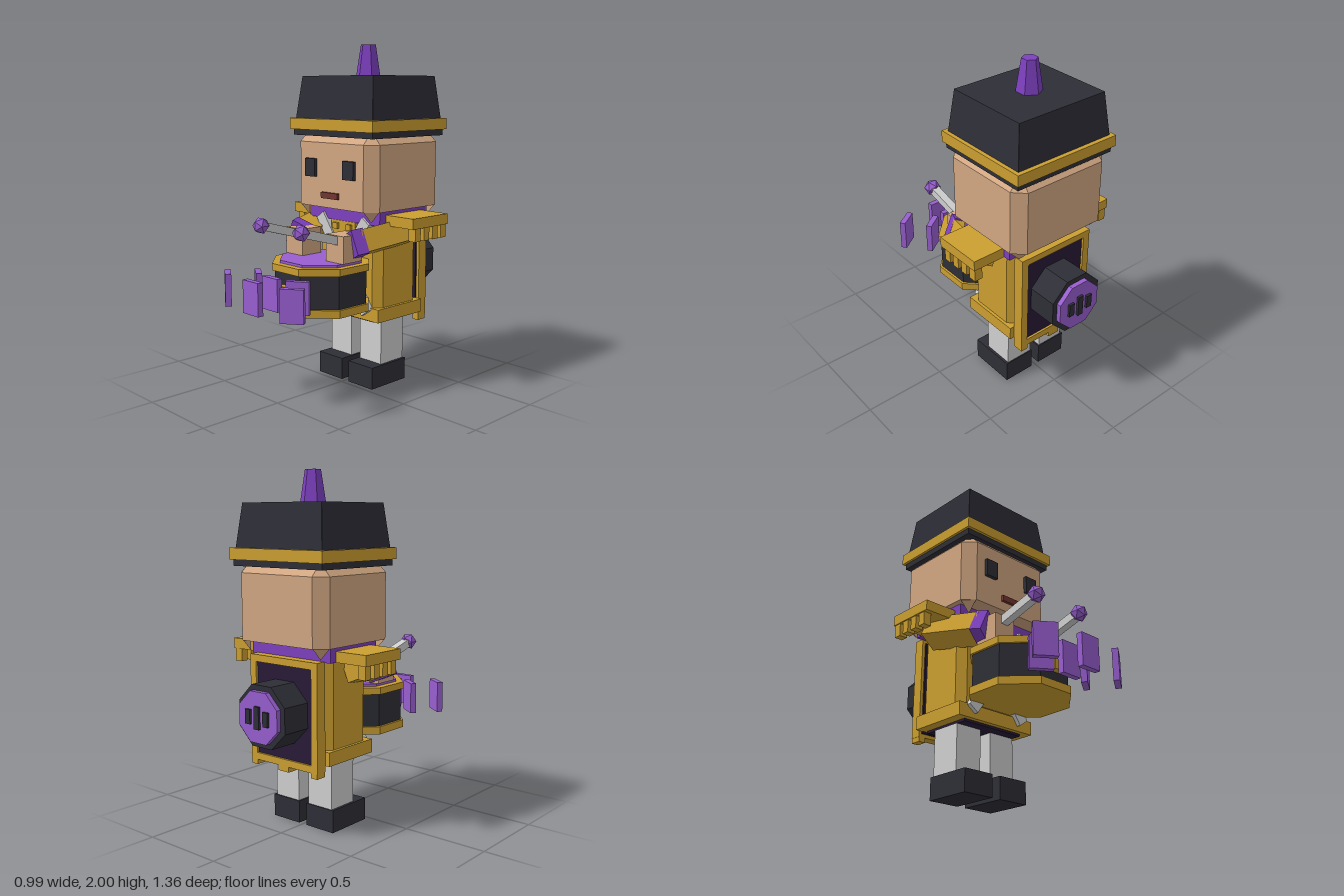
import * as THREE from 'three';
import { ConvexGeometry } from 'three/addons/geometries/ConvexGeometry.js';

const mat = (name, color) => {
  const m = new THREE.MeshStandardMaterial({ color, flatShading: true });
  m.name = name;
  return m;
};

// Stacked chamfered rectangles: each level is [y, halfX, halfZ, chamfer]
function loft(levels, z = 0) {
  const rings = levels.map(([y, hx, hz, c]) => [
    [hx, c - hz], [hx, hz - c], [hx - c, hz], [c - hx, hz],
    [-hx, hz - c], [-hx, c - hz], [c - hx, -hz], [hx - c, -hz],
  ].map(([x, d]) => [x, y, d + z]));
  const v = [];
  const tri = (...p) => p.forEach((q) => v.push(...q));
  const first = rings[0], last = rings[rings.length - 1];
  for (let i = 0; i < 8; i++) {
    const j = (i + 1) % 8;
    for (let k = 0; k + 1 < rings.length; k++) {
      const a = rings[k], b = rings[k + 1];
      tri(a[i], b[i], b[j]);
      tri(a[i], b[j], a[j]);
    }
    tri([0, first[0][1], z], first[i], first[j]);
    tri([0, last[0][1], z], last[j], last[i]);
  }
  const g = new THREE.BufferGeometry();
  g.setAttribute('position', new THREE.Float32BufferAttribute(v, 3));
  g.computeVertexNormals();
  return g;
}

export function createModel() {
  const gold = mat('gold', 0xcc9f30), skin = mat('skin', 0xd3a883);
  const dark = mat('charcoal', 0x2e2e37), deep = mat('deep purple', 0x7e40c0);
  const light = mat('light purple', 0x985ed0), grey = mat('light grey', 0xd0d0d0);
  const lip = mat('maroon', 0x733630), night = mat('night purple', 0x281b36);

  const model = new THREE.Group();
  const add = (name, geo, material, x = 0, y = 0, z = 0) => {
    const m = new THREE.Mesh(geo, material);
    m.name = name;
    m.position.set(x, y, z);
    model.add(m);
    return m;
  };
  // Box given by its extents on each axis
  const box = (name, material, [x0, x1], [y0, y1], [z0, z1]) => add(name,
    new THREE.BoxGeometry(x1 - x0, y1 - y0, z1 - z0), material,
    (x0 + x1) / 2, (y0 + y1) / 2, (z0 + z1) / 2);
  // Box running from one point to another
  const limb = (name, material, a, b, w, h, roll = 0) => {
    const p = new THREE.Vector3(...a), q = new THREE.Vector3(...b);
    const m = add(name, new THREE.BoxGeometry(w, h, p.distanceTo(q)), material);
    m.position.copy(p).lerp(q, 0.5);
    m.lookAt(q);
    m.rotateZ(roll);
    return m;
  };
  const mid = -0.22;

  // Head with chamfered corners and face
  add('head', loft([[1.065, 0.325, 0.303, 0.065], [1.44, 0.325, 0.303, 0.065], [1.49, 0.275, 0.253, 0.02]], mid), skin);
  box('mouth', lip, [-0.068, 0.068], [1.12, 1.155], [0.08, 0.1]);
  for (const sx of [-1, 1]) {
    box('eye', dark, [sx * 0.158 - 0.042, sx * 0.158 + 0.042], [1.24, 1.345], [0.08, 0.105]);
    for (const sz of [-1, 1]) {
      const p = (x, y, z) => new THREE.Vector3(sx * x, y, mid + sz * z);
      add('jawCorner', new ConvexGeometry([p(0.26, 1.07, 0.303), p(0.325, 1.07, 0.238), p(0.26, 1.0, 0.238), p(0.26, 1.07, 0.238)]), skin);
    }
  }

  // Hat
  box('hatLining', dark, [-0.325, 0.325], [1.475, 1.515], [mid - 0.298, mid + 0.298]);
  box('hatBand', gold, [-0.34, 0.34], [1.51, 1.575], [mid - 0.315, mid + 0.315]);
  add('hatCrown', loft([[1.57, 0.317, 0.29, 0.001], [1.82, 0.289, 0.26, 0.001]], mid), dark);
  add('plume', new THREE.CylinderGeometry(0.045, 0.073, 0.18, 6), deep, 0, 1.91, mid);

  // Torso, collar and belt
  add('coat', loft([[0.42, 0.255, 0.175, 0.045], [1.0, 0.255, 0.175, 0.045]], mid), gold);
  box('collar', deep, [-0.29, 0.29], [0.98, 1.066], [-0.415, -0.02]);
  box('belt', gold, [-0.273, 0.273], [0.412, 0.49], [-0.405, -0.03]);
  box('coatHem', night, [-0.21, 0.21], [0.398, 0.415], [-0.38, -0.06]);
  for (const s of [-1, 1]) {
    limb('crossStrap', grey, [s * 0.19, 1.0, -0.03], [-s * 0.19, 0.46, -0.03], 0.05, 0.07);
    for (const y of [0.84, 0.93]) box('button', gold, [s * 0.055 - 0.018, s * 0.055 + 0.018], [y, y + 0.035], [-0.05, 0.0]);
  }
  const lapel = new THREE.Shape([[-0.1, 0.98], [-0.1, 0.92], [0, 0.8], [0.1, 0.92], [0.1, 0.98]].map((p) => new THREE.Vector2(...p)));
  add('lapel', new THREE.ExtrudeGeometry(lapel, { depth: 0.02, bevelEnabled: false }), gold, 0, 0, -0.035);

  // Mirrored limbs
  for (const s of [-1, 1]) {
    const span = (a, b) => (s > 0 ? [a, b] : [-b, -a]);
    box('boot', dark, span(0.028, 0.225), [0, 0.13], [-0.32, -0.032]);
    box('leg', grey, span(0.037, 0.21), [0.13, 0.42], [-0.313, -0.122]);
    box('epaulette', gold, span(0.22, 0.493), [0.98, 1.04], [-0.37, -0.07]);
    for (let i = 0; i < 4; i++) {
      const z = -0.122 - i * 0.073;
      box('epauletteFringe', gold, span(0.436, 0.486), [0.905, 0.985], [z - 0.023, z + 0.023]);
    }
    limb('sleeve', gold, [s * 0.32, 0.94, -0.24], [s * 0.235, 0.89, 0.09], 0.14, 0.13, s * 0.4);
    limb('cuff', deep, [s * 0.235, 0.89, 0.07], [s * 0.21, 0.88, 0.135], 0.155, 0.145, s * 0.4);
    box('hand', skin, span(0.1, 0.24), [0.79, 0.945], [0.07, 0.217]);
    limb('drumstick', grey, [s * 0.17, 0.895, 0.14], [s * 0.17, 0.985, 0.46], 0.048, 0.048);
    add('drumstickTip', new THREE.IcosahedronGeometry(0.05, 0), light, s * 0.17, 0.987, 0.463);
  }

  // Front drum
  const dz = 0.16;
  const drumPart = (name, material, y0, y1, r) => {
    const c = r * 0.586;
    add(name, loft([[y0, r, r, c], [y1, r, r, c]], dz), material);
  };
  drumPart('drumLowerRim', gold, 0.5, 0.545, 0.272);
  drumPart('drumShell', dark, 0.545, 0.735, 0.258);
  drumPart('drumUpperRim', gold, 0.735, 0.775, 0.272);
  drumPart('drumSkin', light, 0.77, 0.79, 0.23);
  box('drumBadge', gold, [-0.031, 0.031], [0.6, 0.665], [0.41, 0.458]);

  // Floating plates in front of the drum
  for (const [x, z, turn] of [[0, 0.527, 0], [0, 0.66, 0], [0.17, 0.487, 1], [-0.17, 0.487, -1], [0.277, 0.62, 1], [-0.277, 0.62, -1]]) {
    add('soundPlate', new THREE.BoxGeometry(0.13, 0.185, 0.035), light, x, 0.637, z).rotation.y = turn * 0.61;
  }

  // Back banner with frame
  box('bannerPanel', night, [-0.23, 0.23], [0.4, 0.96], [-0.462, -0.4]);
  for (const s of [-1, 1]) {
    box('bannerPost', gold, [s * 0.227 - 0.022, s * 0.227 + 0.022], [0.38, 0.985], [-0.475, -0.41]);
    box('bannerFoot', gold, [s * 0.225 - 0.022, s * 0.225 + 0.022], [0.352, 0.385], [-0.475, -0.41]);
  }
  for (const y of [0.38, 0.945]) box('bannerRail', gold, [-0.249, 0.249], [y, y + 0.04], [-0.475, -0.41]);
  box('bannerFoot', gold, [-0.038, 0.038], [0.35, 0.385], [-0.475, -0.41]);

  // Round back pod
  const disc = (name, material, r, z0, z1) => {
    const g = new THREE.CylinderGeometry(r / 0.924, r / 0.924, z1 - z0, 8);
    g.rotateY(Math.PI / 8).rotateX(Math.PI / 2);
    add(name, g, material, 0, 0.69, (z0 + z1) / 2);
  };
  disc('podBody', dark, 0.17, -0.64, -0.45);
  disc('podFace', light, 0.14, -0.668, -0.64);
  for (const [x, h] of [[-0.065, 0.04], [0, 0.062], [0.065, 0.04]]) {
    box('podSlot', dark, [x - 0.018, x + 0.018], [0.69 - h, 0.69 + h], [-0.682, -0.66]);
  }
  return model;
}
